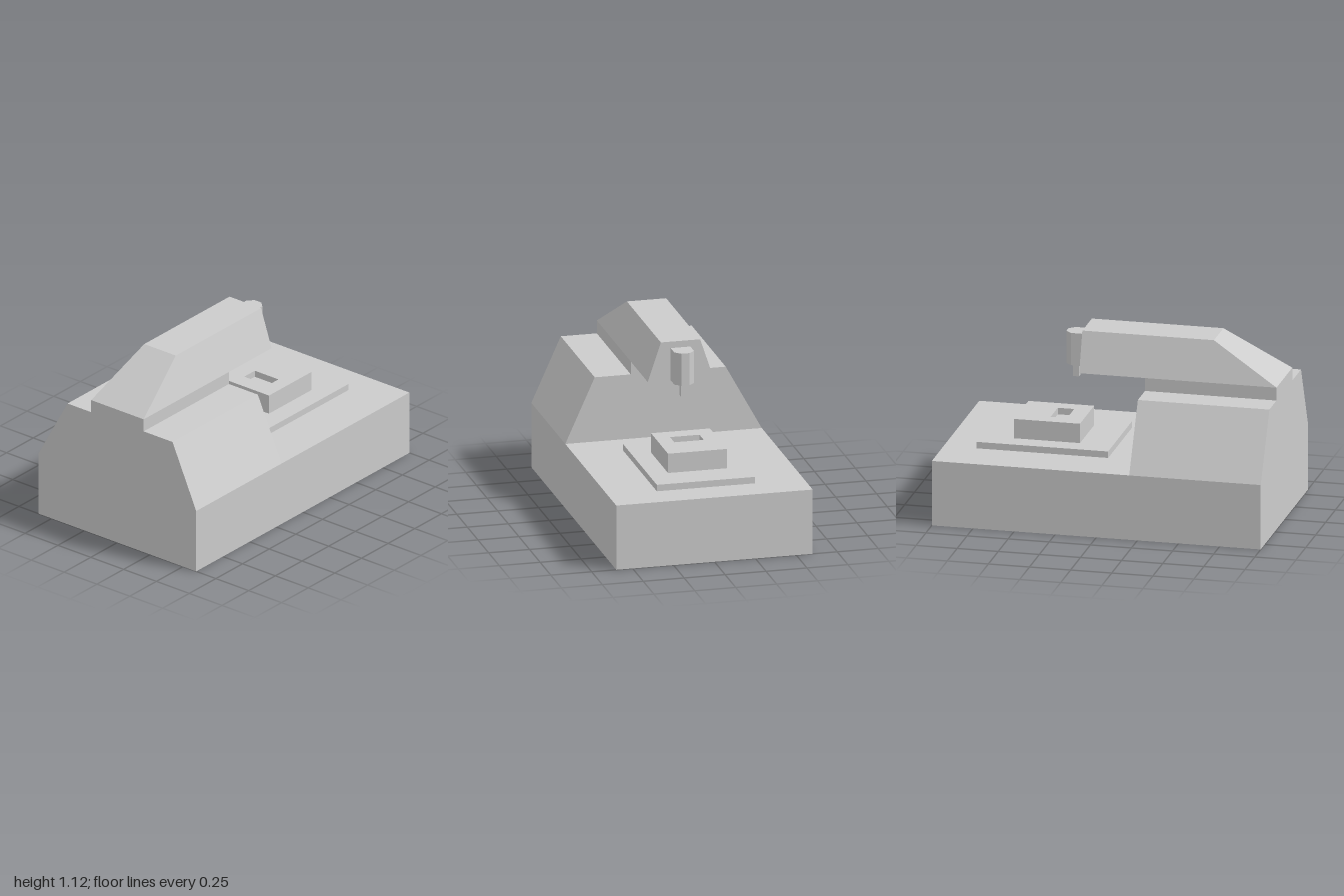
import * as THREE from 'three';

const material = new THREE.MeshStandardMaterial({ color: 0xcccccc, flatShading: true });

export function createModel() {
  const model = new THREE.Group();
  model.name = 'millingMachine';

  function add(name, geometry, parent = model) {
    const mesh = new THREE.Mesh(geometry, material);
    mesh.name = name;
    parent.add(mesh);
    return mesh;
  }

  // Box given by its minimum and maximum corners
  function box([x0, y0, z0], [x1, y1, z1]) {
    return new THREE.BoxGeometry(x1 - x0, y1 - y0, z1 - z0)
      .translate((x0 + x1) / 2, (y0 + y1) / 2, (z0 + z1) / 2);
  }

  const outline = (points) => new THREE.Shape(points.map(([a, b]) => new THREE.Vector2(a, b)));

  // Prism along x from a [z, y] profile
  function prismX(points, x0, x1) {
    return new THREE.ExtrudeGeometry(outline(points.map(([z, y]) => [-z, y])),
      { depth: x1 - x0, bevelEnabled: false }).rotateY(Math.PI / 2).translate(x0, 0, 0);
  }

  // Upright prism from a plan shape drawn in (x, -z)
  function prismY(shape, y0, y1) {
    return new THREE.ExtrudeGeometry(shape, { depth: y1 - y0, bevelEnabled: false })
      .rotateX(-Math.PI / 2).translate(0, y0, 0);
  }

  // Base and sloped column
  add('base', box([-1, 0, -0.6], [1, 0.4, 0.6]));
  add('column', prismX([[0.6, 0.4], [0.42, 0.8], [-0.38, 0.8], [-0.6, 0.4]], -1, -0.2));

  // Neck and overhanging arm, the arm's rear sloping up to the top
  add('neck', box([-1, 0.8, -0.2], [-0.2, 0.88, 0.2]));
  const arm = prismX([[0.2, 0.88], [0.12, 1.12], [-0.12, 1.12], [-0.2, 0.88]], -1, 0.2);
  const p = arm.attributes.position;
  for (let i = 0; i < p.count; i++) {
    if (p.getX(i) < -0.9 && p.getY(i) > 1) p.setX(i, -0.6);
  }
  arm.computeVertexNormals();
  add('arm', arm);

  // Spindle housing with chamfered nose, and cutting tool
  add('spindleHousing', prismY(outline([
    [0.2, -0.06], [0.285, -0.06], [0.32, -0.025], [0.32, 0.025], [0.285, 0.06], [0.2, 0.06],
  ]), 0.88, 1.08));
  add('cuttingTool', box([0.245, 0.8, -0.018], [0.283, 0.88, 0.018]));

  // Work table
  add('table', box([0, 0.4, -0.3], [0.8, 0.44, 0.3]));

  // Workpiece with a shallow rectangular pocket
  const workpiece = new THREE.Group();
  workpiece.name = 'workpiece';
  model.add(workpiece);
  add('workpieceBody', box([0.2, 0.44, -0.18], [0.6, 0.52, 0.18]), workpiece);
  const rim = outline([[0.2, -0.18], [0.6, -0.18], [0.6, 0.18], [0.2, 0.18]]);
  rim.holes.push(outline([[0.3, -0.09], [0.3, 0.09], [0.4, 0.09], [0.4, -0.09]]));
  add('pocketRim', prismY(rim, 0.52, 0.56), workpiece);

  return model;
}
